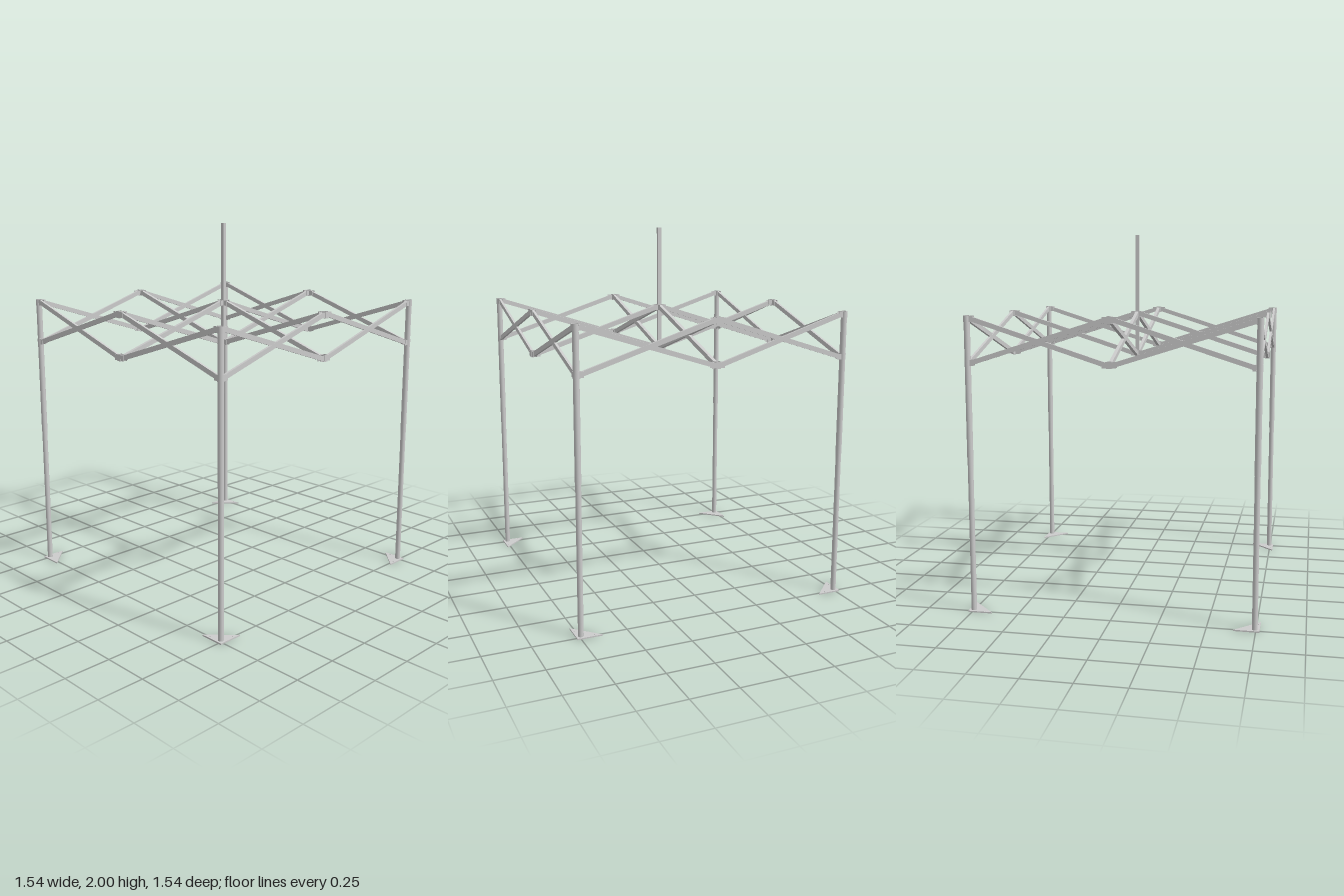
import * as THREE from 'three';

const SPAN = 0.745;            // half distance between the legs
const TOP = 1.555, LOW = 1.33; // heights of the two joint levels
const grey = new THREE.MeshStandardMaterial({ color: 0xcccccc, side: THREE.DoubleSide });

function add(parent, geometry, name, x = 0, y = 0, z = 0) {
  const mesh = new THREE.Mesh(geometry, grey);
  mesh.name = name;
  mesh.position.set(x, y, z);
  parent.add(mesh);
  return mesh;
}

// Open round pipe with a wall, standing from y0 to y1
function pipe(outer, inner, y0, y1) {
  const p = [[inner, y0], [outer, y0], [outer, y0], [outer, y1], [outer, y1], [inner, y1], [inner, y1], [inner, y0]];
  return new THREE.LatheGeometry(p.map(([r, y]) => new THREE.Vector2(r, y)), 24);
}

// Open square pipe standing from y0 to y1
function squarePipe(outer, inner, y0, y1) {
  const square = (h, T) => new T([[-h, -h], [h, -h], [h, h], [-h, h]].map(([x, y]) => new THREE.Vector2(x, y)));
  const shape = square(outer, THREE.Shape);
  shape.holes.push(square(inner, THREE.Path));
  const g = new THREE.ExtrudeGeometry(shape, { depth: y1 - y0, bevelEnabled: false });
  return g.rotateX(-Math.PI / 2).translate(0, y0, 0);
}

// Triangular ground plate with a leg opening and peg holes
function footPlate() {
  const a = -0.025, b = 0.107;
  const shape = new THREE.Shape([[a, a], [b, a], [a, b]].map(([x, y]) => new THREE.Vector2(x, y)));
  for (const [x, y, r] of [[0, 0, 0.0135], [0.066, -0.014, 0.003], [-0.014, 0.066, 0.003]]) {
    shape.holes.push(new THREE.Path().absarc(x, y, r, 0, Math.PI * 2, true));
  }
  const g = new THREE.ExtrudeGeometry(shape, { depth: 0.007, bevelEnabled: false, curveSegments: 10 });
  return g.rotateX(Math.PI / 2).translate(0, 0.007, 0);
}

// Two fork cheeks reaching from a joint towards angle
function fork(parent, angle, start, end) {
  const arm = new THREE.Group();
  arm.name = 'jointFork';
  for (const side of [-1, 1]) {
    add(arm, new THREE.BoxGeometry(end - start, 0.03, 0.002), 'forkCheek', (start + end) / 2, 0, side * 0.0105);
  }
  arm.rotation.y = angle;
  parent.add(arm);
}

// Crossed pair of bars along local x, centred on the origin
function scissor(width) {
  const g = new THREE.Group();
  g.name = 'scissorTruss';
  const run = SPAN - 0.04, rise = TOP - LOW;
  for (const s of [-1, 1]) {
    const bar = add(g, new THREE.BoxGeometry(Math.hypot(run, rise) + 0.012, 0.025, width), 'scissorBar', 0, 0, s * 0.0005);
    bar.rotation.z = s * Math.atan2(rise, run);
  }
  return g;
}

export function createModel() {
  const model = new THREE.Group();
  model.name = 'canopyFrame';

  // Telescopic corner legs with triangular feet
  for (const sx of [-1, 1]) for (const sz of [-1, 1]) {
    const leg = new THREE.Group();
    leg.name = 'cornerLeg';
    leg.position.set(sx * SPAN, 0, sz * SPAN);
    add(leg, pipe(0.0145, 0.0135, 0, 0.86), 'lowerTube');
    add(leg, pipe(0.016, 0.0147, 0.795, 1.57), 'upperTube');
    // Turned so its two straight edges point towards the neighbouring legs
    const turn = { '-1,-1': 3, '-1,1': 0, '1,1': 1, '1,-1': 2 }[`${sx},${sz}`];
    const foot = add(leg, footPlate(), 'footPlate');
    foot.rotation.y = (turn + 1) * Math.PI / 2;
    model.add(leg);
  }

  // Joints on a three by three grid, at both levels
  for (const i of [-1, 0, 1]) for (const k of [-1, 0, 1]) for (const y of [TOP, LOW]) {
    const joint = new THREE.Group();
    const corner = i !== 0 && k !== 0;
    joint.name = corner ? 'legBracket' : 'hubJoint';
    joint.position.set(i * SPAN, y, k * SPAN);
    add(joint, corner ? pipe(0.0175, 0.0155, -0.017, 0.017) : squarePipe(0.013, 0.0118, -0.018, 0.018), 'collar');
    const start = corner ? 0.014 : 0.012, end = corner ? 0.035 : 0.037;
    if (i < 1) fork(joint, 0, start, end);
    if (i > -1) fork(joint, Math.PI, start, end);
    if (k > -1) fork(joint, Math.PI / 2, start, end);
    if (k < 1) fork(joint, -Math.PI / 2, start, end);
    model.add(joint);
  }

  // Scissor trusses along the sides and through the middle, both ways
  for (const line of [-1, 0, 1]) for (const half of [-0.5, 0.5]) {
    const width = line === 0 ? 0.018 : 0.013;
    const across = scissor(width);
    across.position.set(half * SPAN, (TOP + LOW) / 2, line * SPAN);
    const along = scissor(width);
    along.position.set(line * SPAN, (TOP + LOW) / 2, half * SPAN);
    along.rotation.y = Math.PI / 2;
    model.add(across, along);
  }

  // Centre pole carrying the roof peak
  add(model, squarePipe(0.01, 0.0088, 1.315, 2), 'centrePole');
  return model;
}
